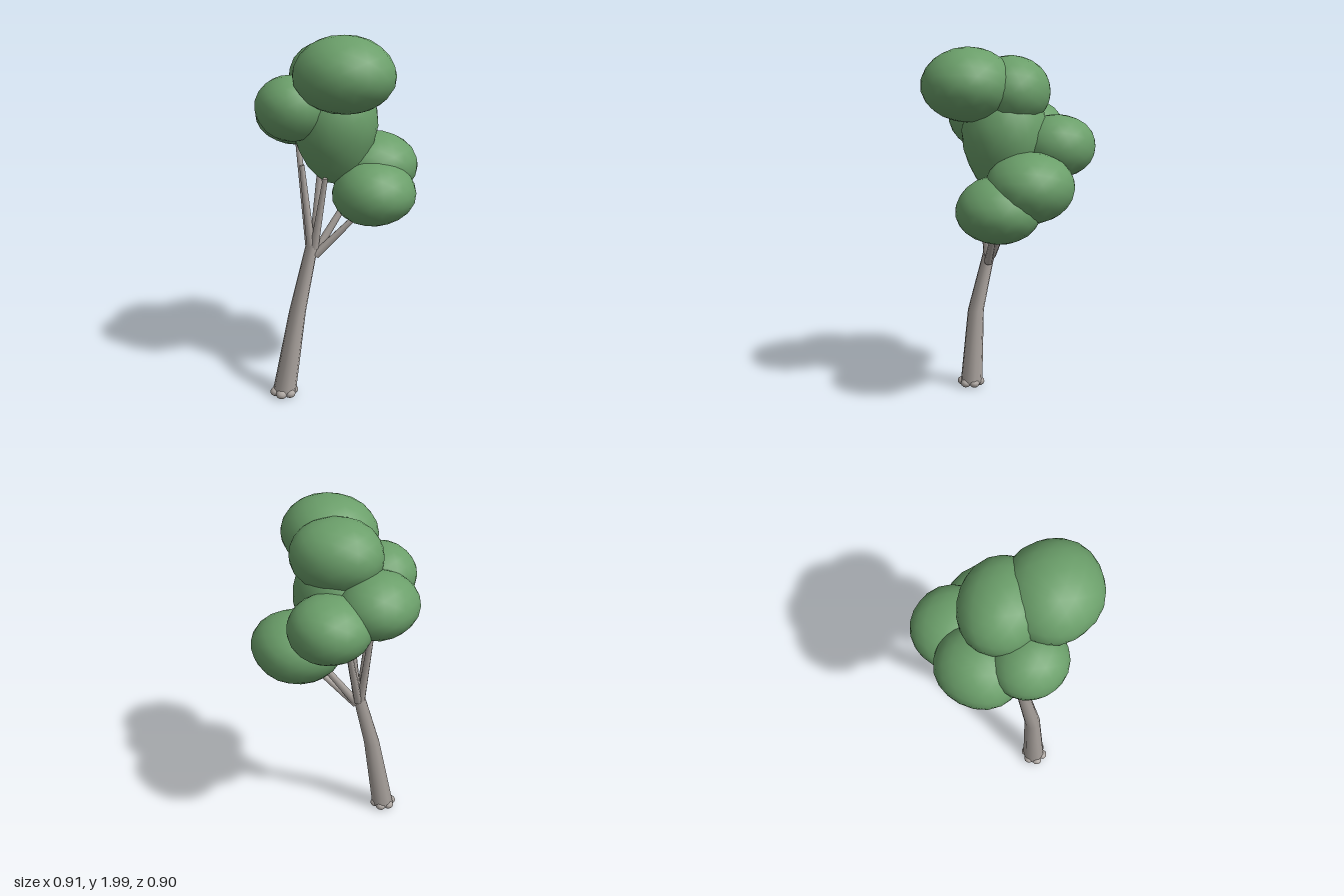
import * as THREE from 'three';
import { mergeVertices } from 'three/addons/utils/BufferGeometryUtils.js';

const leafGreen = new THREE.MeshStandardMaterial({ color: 0x6b9f6a });
leafGreen.name = 'leaf green';
const barkGrey = new THREE.MeshStandardMaterial({ color: 0xaba49f });
barkGrey.name = 'bark grey';

function add(parent, name, geometry, material) {
  const mesh = new THREE.Mesh(geometry, material);
  mesh.name = name;
  parent.add(mesh);
  return mesh;
}

// Slightly lumpy smooth ellipsoid; taper narrows its lower half
function clumpGeometry([rx, ry, rz], seed, taper = 0) {
  let g = new THREE.IcosahedronGeometry(1, 3);
  g.deleteAttribute('normal');
  g.deleteAttribute('uv');
  g = mergeVertices(g, 1e-4);
  const p = g.attributes.position;
  const v = new THREE.Vector3();
  for (let i = 0; i < p.count; i++) {
    v.fromBufferAttribute(p, i);
    const lump = 1 + 0.02 * Math.sin(3.1 * v.x + seed) * Math.cos(2.7 * v.z + 2 * seed)
      + 0.012 * Math.sin(4 * v.y + seed * 1.7);
    const narrow = 1 - taper * Math.max(0, -v.y);
    p.setXYZ(i, v.x * rx * lump * narrow, v.y * ry * lump, v.z * rz * lump * narrow);
  }
  g.computeVertexNormals();
  return g;
}

// Straight tapered limb between two points
function limb(parent, name, from, to, r0, r1) {
  const a = new THREE.Vector3(...from);
  const b = new THREE.Vector3(...to);
  const d = b.clone().sub(a);
  const mesh = add(parent, name, new THREE.CylinderGeometry(r1, r0, d.length(), 7), barkGrey);
  mesh.position.copy(a).add(b).multiplyScalar(0.5);
  mesh.quaternion.setFromUnitVectors(new THREE.Vector3(0, 1, 0), d.normalize());
}

export function createModel() {
  const tree = new THREE.Group();
  tree.name = 'tree';

  // Trunk: rings [x, y, z, radius] from the ground up
  const rings = [
    [-0.195, 0.03, 0.285, 0.066],
    [-0.13, 0.5, 0.238, 0.047],
    [-0.078, 0.88, 0.14, 0.034],
  ];
  const trunk = new THREE.CylinderGeometry(1, 1, 1, 9, rings.length - 1);
  const p = trunk.attributes.position;
  for (let i = 0; i < p.count; i++) {
    const [x, y, z, r] = rings[Math.round((p.getY(i) + 0.5) * (rings.length - 1))];
    p.setXYZ(i, x + p.getX(i) * r, y, z + p.getZ(i) * r);
  }
  add(tree, 'trunk', trunk, barkGrey);

  // Knobbly root stubs around the foot
  const roots = new THREE.Group();
  roots.name = 'roots';
  tree.add(roots);
  for (let i = 0; i < 6; i++) {
    const a = (i / 6) * Math.PI * 2 + 0.4;
    const stub = add(roots, 'rootStub', new THREE.IcosahedronGeometry(0.03, 1), barkGrey);
    stub.position.set(-0.195 + Math.cos(a) * 0.048, 0.032, 0.288 + Math.sin(a) * 0.05);
    stub.scale.set(1.05, 0.85, 1.05);
  }

  // Branches fanning out from the trunk top
  const branches = new THREE.Group();
  branches.name = 'branches';
  tree.add(branches);
  [
    [[-0.095, 0.85, 0.14], [-0.185, 1.42, 0.08]],
    [[-0.08, 0.85, 0.155], [-0.125, 1.31, 0.165]],
    [[-0.065, 0.85, 0.15], [0.008, 1.25, 0.165]],
    [[-0.075, 0.85, 0.135], [-0.05, 1.35, 0.08]],
    [[-0.08, 0.84, 0.13], [-0.09, 1.42, -0.1]],
    [[-0.06, 0.83, 0.135], [0.12, 1.2, -0.05]],
    [[-0.06, 0.81, 0.145], [0.17, 1.06, 0.05]],
  ].forEach(([from, to]) => limb(branches, 'branch', from, to, 0.024, 0.014));

  // Foliage: [name, centre, radii, taper]
  const foliage = new THREE.Group();
  foliage.name = 'foliage';
  tree.add(foliage);
  [
    ['coreClump', [0.01, 1.51, 0.035], [0.23, 0.315, 0.235], 0.15],
    ['topFrontClump', [0.13, 1.8, 0.205], [0.258, 0.2, 0.242]],
    ['topClump', [-0.003, 1.765, 0.002], [0.25, 0.187, 0.217]],
    ['rightFrontClump', [-0.165, 1.617, 0.195], [0.197, 0.172, 0.19]],
    ['rightClump', [-0.24, 1.55, -0.025], [0.215, 0.172, 0.23]],
    ['backClump', [-0.07, 1.472, -0.233], [0.22, 0.17, 0.217]],
    ['leftBackClump', [0.165, 1.275, -0.133], [0.245, 0.192, 0.232]],
    ['leftLowClump', [0.23, 1.16, 0.02], [0.225, 0.18, 0.225]],
  ].forEach(([name, centre, radii, taper], i) => {
    add(foliage, name, clumpGeometry(radii, i * 1.3, taper), leafGreen).position.set(...centre);
  });

  return tree;
}
